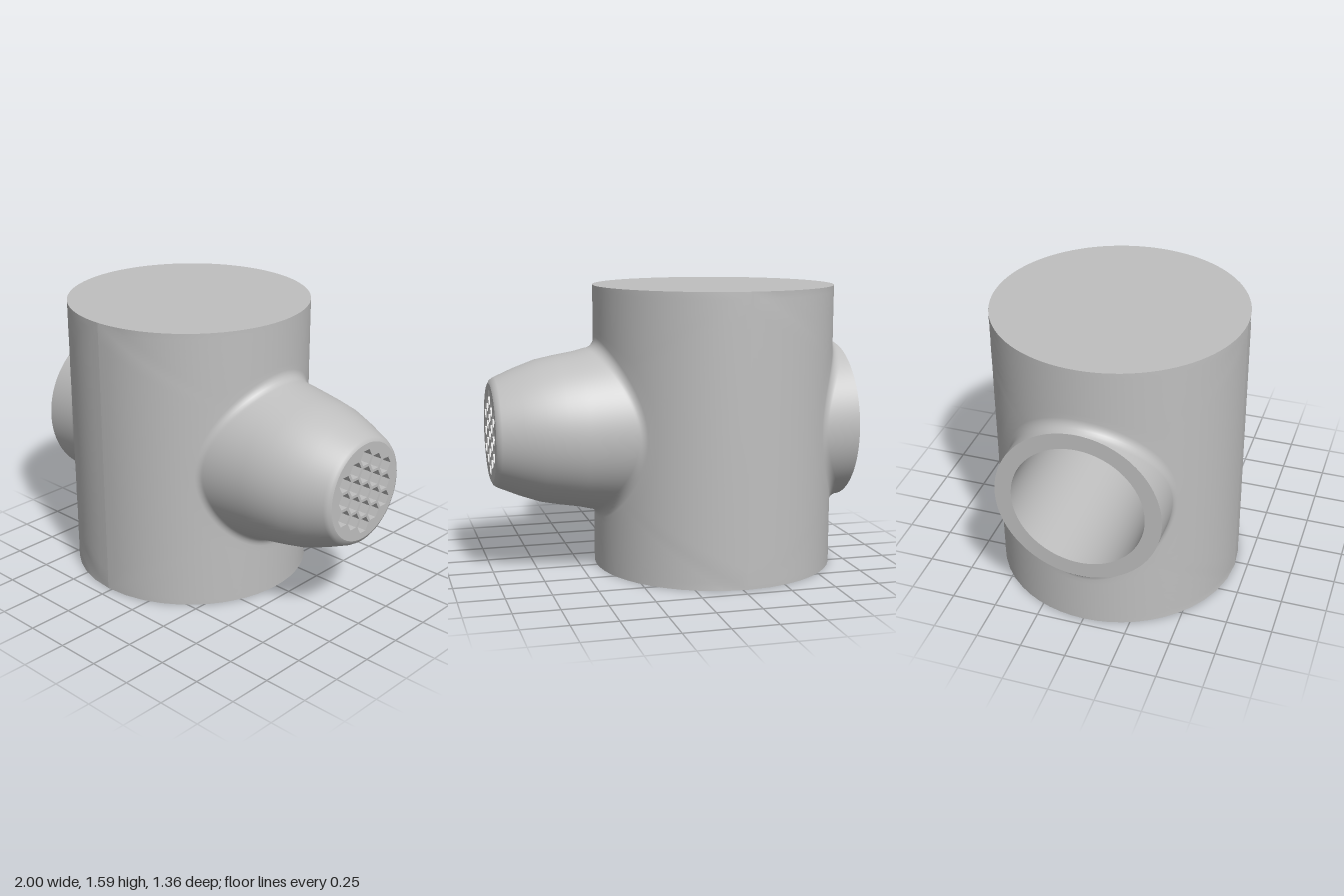
import * as THREE from 'three';

const R = 0.68, HALF = 0.795, AXIS_X = -0.275; // body radius, half height, axis position
const PIPE = 0.45, FILLET = 0.06, BORE = 0.36, N = 96;

// Skin over closed rings of N points
function loft(rings) {
  const index = [];
  for (let i = 0; i < rings.length - 1; i++) {
    for (let j = 0; j < N; j++) {
      const k = (j + 1) % N, a = i * N + j, b = i * N + k;
      index.push(a, b, a + N, b, b + N, a + N);
    }
  }
  const g = new THREE.BufferGeometry().setFromPoints(rings.flat());
  g.setIndex(index);
  g.computeVertexNormals();
  return g;
}

const ring = (fn) => Array.from({ length: N }, (_, j) => fn((j / N) * Math.PI * 2));
const circle = (x, r) => ring((a) => new THREE.Vector3(x, r * Math.cos(a), r * Math.sin(a)));

// Point on the fillet between body and pipe: t = 0 on the body, 1 on the pipe
function filletPoint(a, t, maxX) {
  const y = (PIPE + FILLET) * Math.cos(a), z = (PIPE + FILLET) * Math.sin(a);
  const x = Math.sqrt((R + FILLET) ** 2 - z * z);
  const toBody = new THREE.Vector3(-x, 0, -z).normalize();
  const toPipe = new THREE.Vector3(0, -Math.cos(a), -Math.sin(a));
  const angle = toBody.angleTo(toPipe);
  const p = toBody.multiplyScalar(Math.sin((1 - t) * angle))
    .addScaledVector(toPipe, Math.sin(t * angle))
    .multiplyScalar(FILLET / Math.sin(angle))
    .add(new THREE.Vector3(x, y, z));
  p.x = Math.min(p.x, maxX);
  return p;
}

// Half of the body wall, blended into a pipe along +x
function wallRings(maxX) {
  const rings = [];
  for (let i = 0; i < 10; i++) {
    const t = i / 10;
    rings.push(ring((a) => {
      const c = Math.cos(a), s = Math.sin(a), m = Math.max(Math.abs(c), Math.abs(s));
      const hole = filletPoint(a, 0, maxX);
      const theta = THREE.MathUtils.lerp((s / m) * Math.PI / 2, Math.atan2(hole.z, hole.x), t);
      const y = THREE.MathUtils.lerp((c / m) * HALF, hole.y, t);
      return new THREE.Vector3(R * Math.cos(theta), y, R * Math.sin(theta));
    }));
  }
  for (let i = 0; i <= 6; i++) rings.push(ring((a) => filletPoint(a, i / 6, maxX)));
  return rings;
}

export function createModel() {
  const model = new THREE.Group();
  model.name = 'pipeFitting';
  const grey = new THREE.MeshStandardMaterial({ color: 0xbfbfbf });
  grey.name = 'grey';
  const add = (parent, geometry, name) => {
    const mesh = new THREE.Mesh(geometry, grey);
    mesh.name = name;
    parent.add(mesh);
    return mesh;
  };

  // Body end caps
  for (const side of [1, -1]) {
    const cap = add(model, new THREE.CircleGeometry(R, N).rotateX(-side * Math.PI / 2), side > 0 ? 'topCap' : 'bottomCap');
    cap.position.y = side * HALF;
  }

  // Tapered nozzle with its half of the body
  const nozzle = new THREE.Group();
  nozzle.name = 'nozzle';
  model.add(nozzle);
  const tip = 1.275;
  const profile = [[0.8, 0.434], [0.91, 0.416], [1.015, 0.395], [1.13, 0.354], [1.245, 0.305], [1.265, 0.292], [tip, 0.272]];
  add(nozzle, loft([...wallRings(9), ...profile.map(([x, r]) => circle(x, r))]), 'nozzleShell');

  // Nozzle plate with a honeycomb of holes in columns of 3, 4, 5, 4, 3
  const plate = new THREE.Shape().absarc(0, 0, 0.272, 0, Math.PI * 2);
  for (let c = -2; c <= 2; c++) {
    const count = 5 - Math.abs(c);
    for (let r = 0; r < count; r++) {
      const cx = c * 0.084, cy = (r - (count - 1) / 2) * 0.097;
      const corners = Array.from({ length: 6 }, (_, k) => new THREE.Vector2(
        cx + 0.047 * Math.cos(k * Math.PI / 3), cy + 0.047 * Math.sin(k * Math.PI / 3)));
      plate.holes.push(new THREE.Path(corners).closePath());
    }
  }
  const depth = 0.15;
  const plateGeometry = new THREE.ExtrudeGeometry(plate, { depth, bevelEnabled: false, curveSegments: 48 });
  add(nozzle, plateGeometry.rotateY(Math.PI / 2).translate(tip - depth, 0, 0), 'honeycombPlate');
  add(nozzle, new THREE.CircleGeometry(0.27, 48).rotateY(Math.PI / 2).translate(tip - depth, 0, 0), 'honeycombFloor');

  // Short open socket on the opposite side
  const socket = new THREE.Group();
  socket.name = 'socket';
  socket.rotation.y = Math.PI;
  model.add(socket);
  const mouth = 0.725, boreEnd = -0.275;
  const outer = circle(mouth, PIPE);
  add(socket, loft([...wallRings(mouth), outer]), 'socketShell');
  add(socket, loft([outer, circle(mouth, BORE)]), 'socketRim');
  add(socket, loft([circle(mouth, BORE), circle(boreEnd, BORE)]), 'socketBore');
  add(socket, new THREE.CircleGeometry(BORE, N).rotateY(Math.PI / 2).translate(boreEnd, 0, 0), 'boreFloor');

  model.children.forEach((part) => {
    part.position.x += AXIS_X;
    part.position.y += HALF;
  });
  return model;
}
